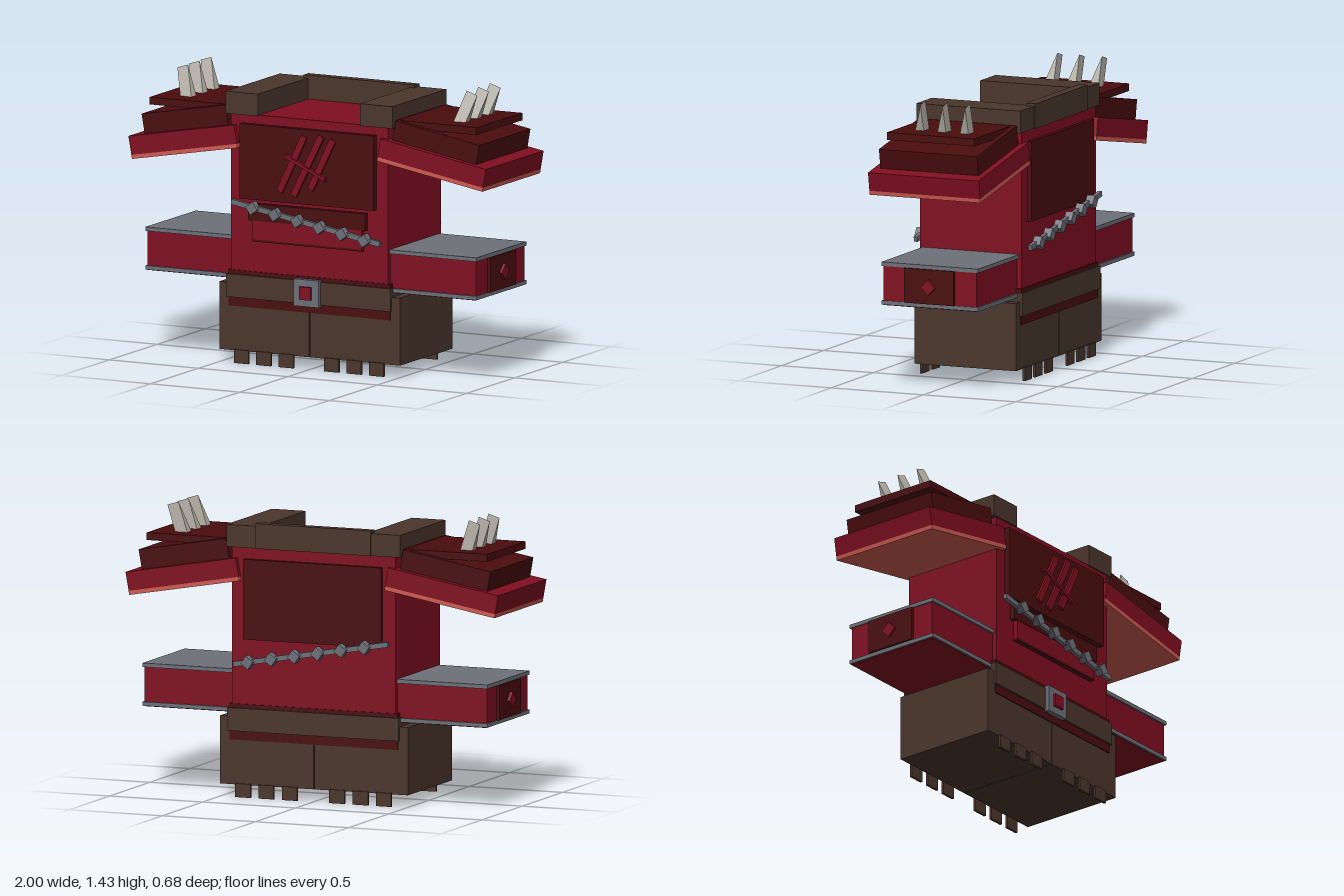
import * as THREE from 'three';

const mat = (name, color) => {
  const m = new THREE.MeshStandardMaterial({ color });
  m.name = name;
  return m;
};

export function createModel() {
  const red = mat('red', 0x800e21);
  const dark = mat('dark red', 0x4a0c0e);
  const brown = mat('brown', 0x4a362c);
  const grey = mat('grey', 0x6e7079);
  const bone = mat('bone', 0xb9b5ab);
  const salmon = mat('salmon', 0xcf5c52);
  const model = new THREE.Group();

  // Box given by its minimum and maximum on each axis
  const box = (name, m, x0, x1, y0, y1, z0, z1, parent = model) => {
    const geo = new THREE.BoxGeometry(Math.abs(x1 - x0), y1 - y0, z1 - z0);
    const mesh = new THREE.Mesh(geo, m);
    mesh.position.set((x0 + x1) / 2, (y0 + y1) / 2, (z0 + z1) / 2);
    mesh.name = name;
    parent.add(mesh);
    return mesh;
  };
  // Bar running between two points on a plane facing z
  const bar = (name, m, ax, ay, bx, by, width, z0, z1) => {
    const len = Math.hypot(bx - ax, by - ay);
    const mesh = box(name, m, -len / 2, len / 2, -width / 2, width / 2, z0, z1);
    mesh.position.x = (ax + bx) / 2;
    mesh.position.y = (ay + by) / 2;
    mesh.rotation.z = Math.atan2(by - ay, bx - ax);
  };

  // Torso, waist and belt
  box('torso', red, -0.44, 0.44, 0.4, 1.25, -0.275, 0.275);
  box('waist', dark, -0.452, 0.452, 0.285, 0.465, -0.28, 0.28);
  box('belt', brown, -0.46, 0.46, 0.33, 0.445, -0.29, 0.29);
  box('buckle', grey, -0.07, 0.07, 0.32, 0.455, 0.285, 0.312);
  box('buckleGem', red, -0.032, 0.032, 0.355, 0.42, 0.31, 0.325);

  // Chest, back and belly plates
  box('chestPlate', dark, -0.375, 0.375, 0.83, 1.205, 0.27, 0.305);
  box('backPlate', dark, -0.37, 0.37, 0.79, 1.19, -0.297, -0.27);
  box('upperBellyPlate', dark, -0.33, 0.325, 0.725, 0.81, 0.27, 0.302);
  box('lowerBellyPlate', red, -0.305, 0.305, 0.63, 0.725, 0.27, 0.3);
  box('bellyEdge', dark, -0.305, 0.305, 0.62, 0.63, 0.27, 0.3);

  // Claw marks on the chest
  [[-0.148, 0.885, -0.01, 1.17], [-0.07, 0.87, 0.085, 1.18], [0.025, 0.91, 0.15, 1.165]]
    .forEach(([ax, ay, bx, by]) => bar('clawMark', red, ax, ay, bx, by, 0.034, 0.3, 0.318));
  bar('crossMark', red, -0.113, 1.068, 0.11, 0.965, 0.016, 0.3, 0.326);

  // Chains with diamond links, front and back
  for (const f of [1, -1]) {
    const span = (a, b) => (f > 0 ? [a, b] : [-b, -a]);
    bar('chain', grey, -0.415, 0.813, 0.415, 0.667, 0.026, ...span(0.3, 0.32));
    for (let i = 0; i < 6; i++) {
      const x = -0.292 + i * 0.125;
      const link = box('chainLink', grey, -0.024, 0.024, -0.024, 0.024, ...span(0.298, 0.34));
      link.position.x = x;
      link.position.y = 0.74 - x * 0.176;
      link.rotation.z = Math.PI / 4 - 0.174;
    }
  }

  // Collar
  box('collarBack', brown, -0.31, 0.31, 1.245, 1.37, -0.29, -0.24);

  // Wedge profile of a spike, leaning up along its back edge
  const wedge = new THREE.Shape([[-0.065, 0], [0, 0], [0, 0.195]].map(p => new THREE.Vector2(...p)));
  const spikeGeo = new THREE.ExtrudeGeometry(wedge, { depth: 0.062, bevelEnabled: false });
  spikeGeo.translate(0, 0, -0.031).rotateY(Math.PI / 2);

  for (const s of [1, -1]) {
    box('collarSide', brown, s * 0.285, s * 0.467, 1.245, 1.356, -0.282, 0.282);

    // Sloping shoulder pad in layers
    const pad = new THREE.Group();
    pad.name = 'shoulderPad';
    pad.position.set(s * 0.695, 1.085, 0);
    pad.rotation.z = -s * 0.175;
    model.add(pad);
    box('padTrim', salmon, -s * 0.3, s * 0.3, -0.0575, -0.037, -0.3, 0.3, pad);
    box('padBase', red, -s * 0.3, s * 0.3, -0.037, 0.0575, -0.3, 0.3, pad);
    box('padLayer', dark, -s * 0.25, s * 0.226, 0.0575, 0.157, -0.266, 0.266, pad);
    box('padTop', dark, s * 0.44, s * 0.915, 1.245, 1.282, -0.237, 0.237);

    // Spikes
    for (const z of [0.09, -0.03, -0.152]) {
      const spike = new THREE.Mesh(spikeGeo, bone);
      spike.name = 'spike';
      spike.position.set(s * 0.752, 1.237, z);
      spike.rotation.z = -s * 0.3;
      model.add(spike);
    }

    // Arm block with trim and an end badge
    box('arm', red, s * 0.43, s * 0.92, 0.43, 0.625, -0.252, 0.252);
    box('armTopTrim', grey, s * 0.43, s * 0.926, 0.615, 0.635, -0.262, 0.262);
    box('armBottomTrim', grey, s * 0.43, s * 0.926, 0.422, 0.442, -0.262, 0.262);
    box('armUnderside', red, s * 0.43, s * 0.918, 0.419, 0.424, -0.253, 0.253);
    box('armEndPlate', dark, s * 0.915, s * 0.936, 0.442, 0.615, -0.135, 0.135);
    const gem = box('armGem', red, s * 0.93, s * 0.95, -0.028, 0.028, -0.028, 0.028);
    gem.position.y = 0.527;
    gem.rotation.x = Math.PI / 4;

    // Legs with toes at front and back
    box('leg', brown, s * 0.003, s * 0.505, 0.062, 0.4, -0.275, 0.275);
    for (const x of [0.127, 0.253, 0.378]) {
      box('frontToe', brown, s * (x - 0.041), s * (x + 0.041), 0, 0.068, 0.271, 0.284);
      box('backToe', brown, s * (x - 0.041), s * (x + 0.041), 0, 0.068, -0.284, -0.271);
    }
  }
  return model;
}
